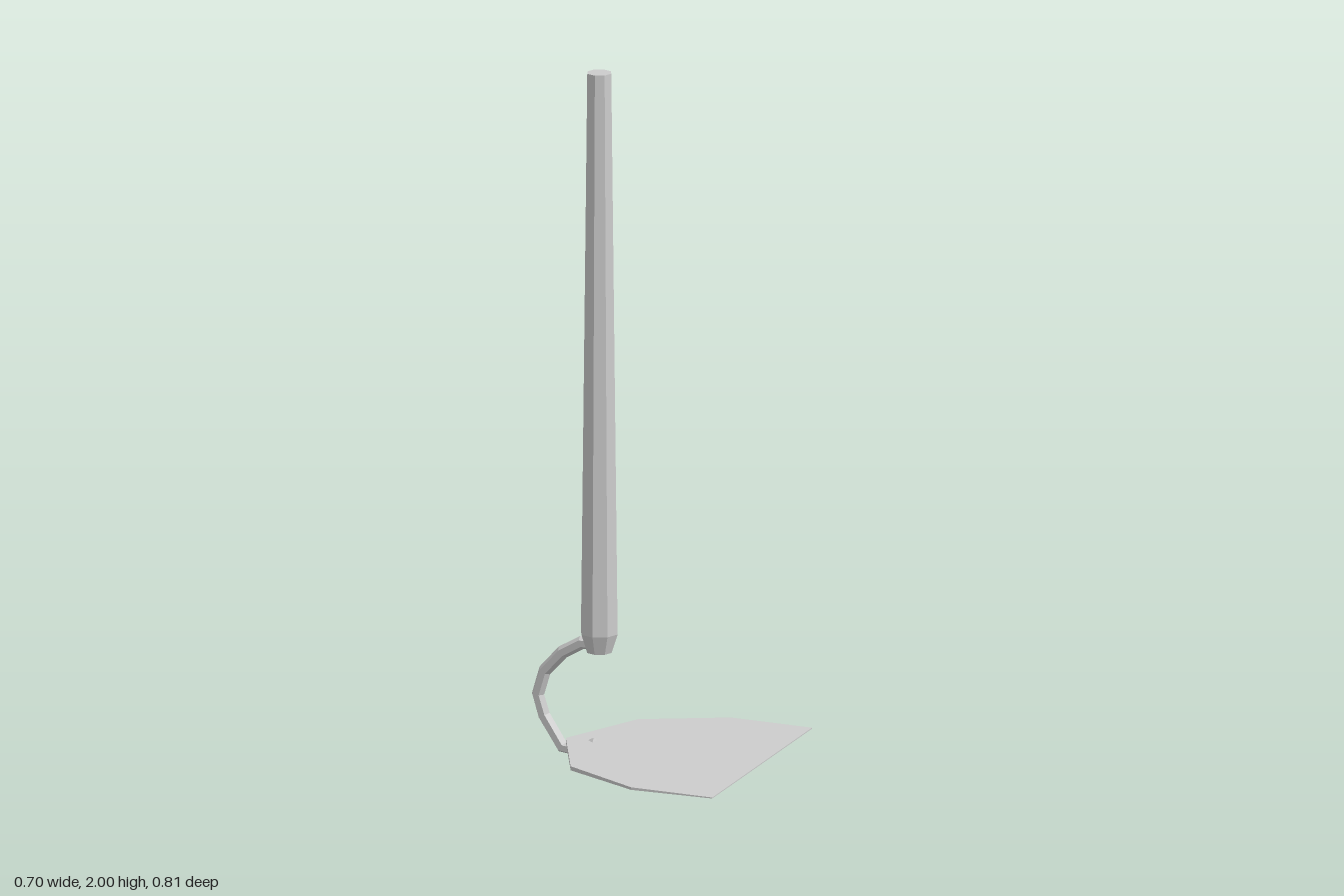
import * as THREE from 'three';

const HANDLE_X = -0.14;

export function createModel() {
  const group = new THREE.Group();
  const material = new THREE.MeshStandardMaterial({ color: 0xcccccc, flatShading: true });
  const add = (name, geometry) => {
    const mesh = new THREE.Mesh(geometry, material);
    mesh.name = name;
    group.add(mesh);
    return mesh;
  };

  // Tapered octagonal handle with a chamfered foot and closed ends
  const profile = [[0, 0.315], [0.037, 0.315], [0.055, 0.37], [0.036, 2], [0, 2]];
  const handle = add('handle', new THREE.LatheGeometry(
    profile.map(([r, y]) => new THREE.Vector2(r, y)), 8));
  handle.position.x = HANDLE_X;

  // Bent neck: six-sided bar, swung slightly towards the back
  const bends = [
    [-0.14, 0.335], [-0.195, 0.335], [-0.255, 0.3], [-0.31, 0.24], [-0.331, 0.17],
    [-0.312, 0.11], [-0.255, 0.025], [-0.2, 0.02], [-0.15, 0.045],
  ];
  const path = new THREE.CurvePath();
  const points = bends.map(([x, y]) => new THREE.Vector3(x, y, 0.09 * (x - HANDLE_X) - 0.003));
  for (let i = 1; i < points.length; i++) path.add(new THREE.LineCurve3(points[i - 1], points[i]));
  // Rings sit exactly on the bends, with mitred directions
  path.getPointAt = (u) => points[Math.round(u * (points.length - 1))].clone();
  path.getTangentAt = (u) => {
    const i = Math.round(u * (points.length - 1));
    const a = points[Math.max(i - 1, 0)], b = points[Math.min(i + 1, points.length - 1)];
    return b.clone().sub(a).normalize();
  };
  add('neck', new THREE.TubeGeometry(path, points.length - 1, 0.019, 6));

  // Flat ends of the neck
  for (const [name, u, sign] of [['neckTopCap', 0, -1], ['neckBottomCap', 1, 1]]) {
    const cap = add(name, new THREE.CircleGeometry(0.018, 6));
    cap.position.copy(path.getPointAt(u));
    cap.lookAt(cap.position.clone().addScaledVector(path.getTangentAt(u), sign));
  }

  // Wide blade, thick at the neck and thinning to a straight cutting edge
  const half = [[-0.24, 0], [-0.125, 0.272], [0.105, 0.403], [0.348, 0.403]];
  const outline = [...half, ...half.slice(1).reverse().map(([x, z]) => [x, -z])];
  const blade = new THREE.ExtrudeGeometry(
    new THREE.Shape(outline.map(([x, z]) => new THREE.Vector2(x, z))),
    { depth: 1, bevelEnabled: false });
  blade.rotateX(-Math.PI / 2);
  const pos = blade.attributes.position;
  for (let i = 0; i < pos.count; i++) {
    const t = (pos.getX(i) + 0.24) / 0.588;
    const bottom = THREE.MathUtils.lerp(0.041, 0.035, t);
    const top = THREE.MathUtils.lerp(0.055, 0.038, t);
    pos.setY(i, pos.getY(i) > 0.5 ? top : bottom);
  }
  blade.computeVertexNormals();
  add('blade', blade);

  return group;
}
